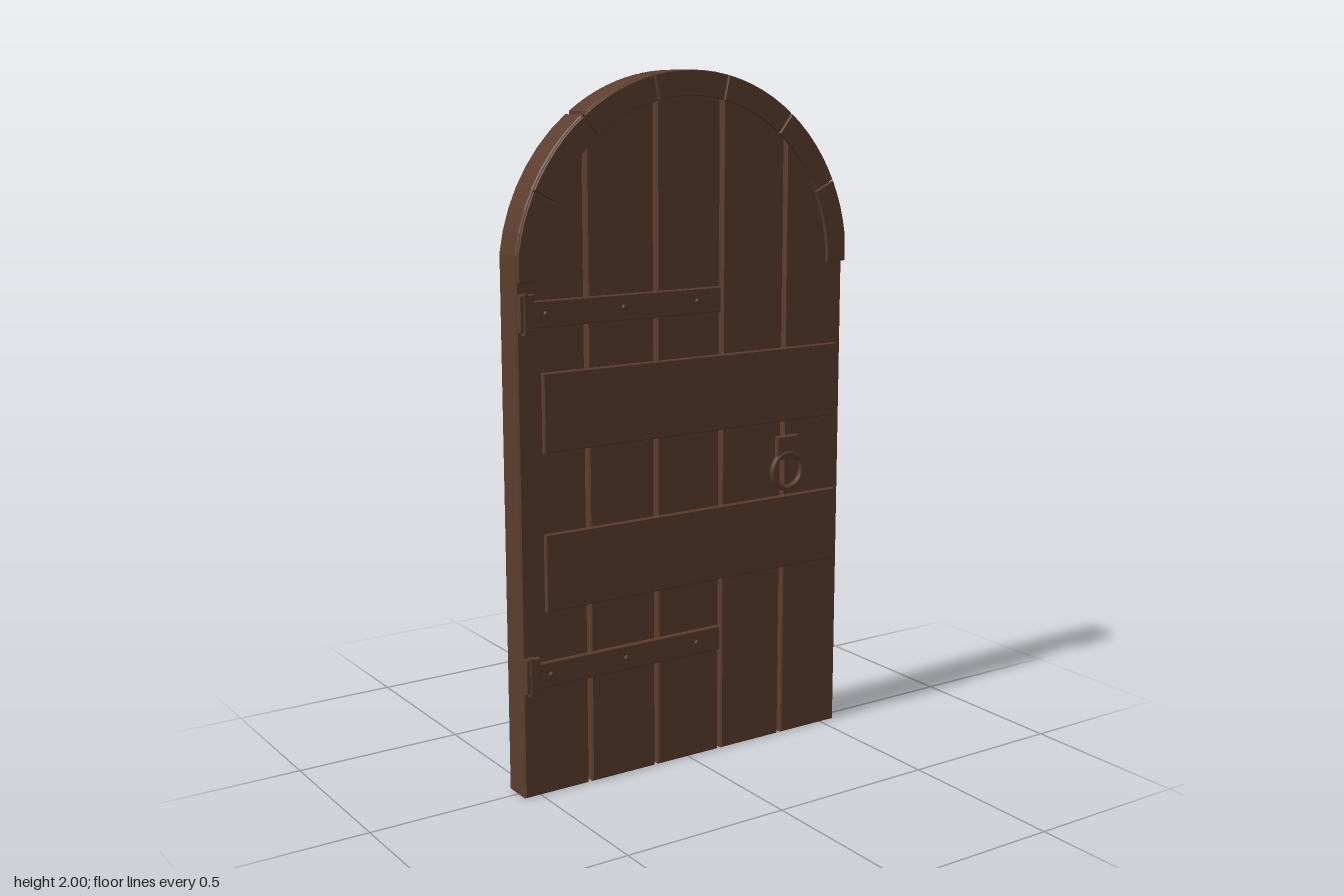
import * as THREE from 'three';

const wood = new THREE.MeshStandardMaterial({ color: 0x5c3d2e });
wood.name = 'darkBrownWood';

const R = 0.555, CY = 1.445; // arch radius and centre height

export function createModel() {
  const door = new THREE.Group();
  door.name = 'archedPlankDoor';

  const add = (name, geometry) => {
    const mesh = new THREE.Mesh(geometry, wood);
    mesh.name = name;
    door.add(mesh);
    return mesh;
  };

  // Flat outline extruded from z0 to z1 with a slim chamfer inside the outline
  const slab = (name, points, z0, z1, b = 0.003) => {
    const geometry = new THREE.ExtrudeGeometry(new THREE.Shape(points), {
      depth: z1 - z0 - 2 * b, bevelEnabled: true, bevelSegments: 1,
      bevelSize: b, bevelThickness: b, bevelOffset: -b,
    });
    geometry.translate(0, 0, z0 + b);
    return add(name, geometry);
  };
  const v = (x, y) => new THREE.Vector2(x, y);
  const rect = (x0, x1, y0, y1) => [v(x0, y0), v(x1, y0), v(x1, y1), v(x0, y1)];
  const arc = (r, a0, a1, n) => Array.from({ length: n + 1 }, (_, i) => {
    const a = a0 + (a1 - a0) * i / n;
    return v(r * Math.cos(a), CY + r * Math.sin(a));
  });

  // Vertical planks, their tops cut to the arch
  const edges = [[-0.55, -0.343], [-0.331, -0.118], [-0.106, 0.106], [0.118, 0.331], [0.343, 0.55]];
  edges.forEach(([x0, x1], i) => {
    const top = arc(R, Math.acos(x1 / R), Math.acos(x0 / R), 7);
    slab(`plank${i + 1}`, [v(x0, 0), v(x1, 0), ...top], -0.05, 0.042, 0.004);
  });

  // Arch trim in seven curved pieces with fine seams
  const step = Math.PI / 7, seam = 0.004;
  for (let i = 0; i < 7; i++) {
    const a0 = i * step + seam, a1 = (i + 1) * step - seam;
    const outer = arc(R, a0, a1, 6).map(p => v(THREE.MathUtils.clamp(p.x, -0.55, 0.55), p.y));
    slab(`archTrim${i + 1}`, [...outer, ...arc(0.485, a1, a0, 6)], 0.046, 0.058, 0.002);
  }

  // Wide front boards
  slab('upperFrontBoard', rect(-0.48, 0.525, 0.982, 1.202), 0.042, 0.058);
  slab('lowerFrontBoard', rect(-0.48, 0.525, 0.535, 0.755), 0.042, 0.058);

  // Back battens and diagonal brace
  slab('upperBackBatten', rect(-0.502, 0.502, 1.28, 1.392), -0.064, -0.048, 0.005);
  slab('lowerBackBatten', rect(-0.502, 0.502, 0.28, 0.392), -0.064, -0.048, 0.005);
  slab('backBrace', [v(0.32, 0.39), v(0.47, 0.39), v(-0.33, 1.282), v(-0.48, 1.282)], -0.063, -0.048);

  // Strap hinges with end plate, pin and rivets
  for (const [side, y] of [['upper', 1.362], ['lower', 0.356]]) {
    slab(`${side}HingeStrap`, rect(-0.545, 0.1, y - 0.037, y + 0.036), 0.042, 0.058);
    slab(`${side}HingePlate`, rect(-0.55, -0.505, y - 0.045, y + 0.055), 0.042, 0.061);
    const pin = add(`${side}HingePin`, new THREE.CylinderGeometry(0.01, 0.01, 0.11, 10));
    pin.position.set(-0.532, y + 0.002, 0.054);
    for (const x of [-0.47, -0.225, 0.018]) {
      const rivet = add(`${side}HingeRivet`, new THREE.SphereGeometry(0.008, 10, 6));
      rivet.scale.z = 0.7;
      rivet.position.set(x, y, 0.058);
    }
  }

  // Ring handle hanging from its plate
  slab('handlePlate', rect(0.307, 0.385, 0.865, 0.937), 0.042, 0.059);
  const ring = add('handleRing', new THREE.TorusGeometry(0.053, 0.009, 8, 28));
  ring.position.set(0.347, 0.831, 0.053);

  return door;
}
